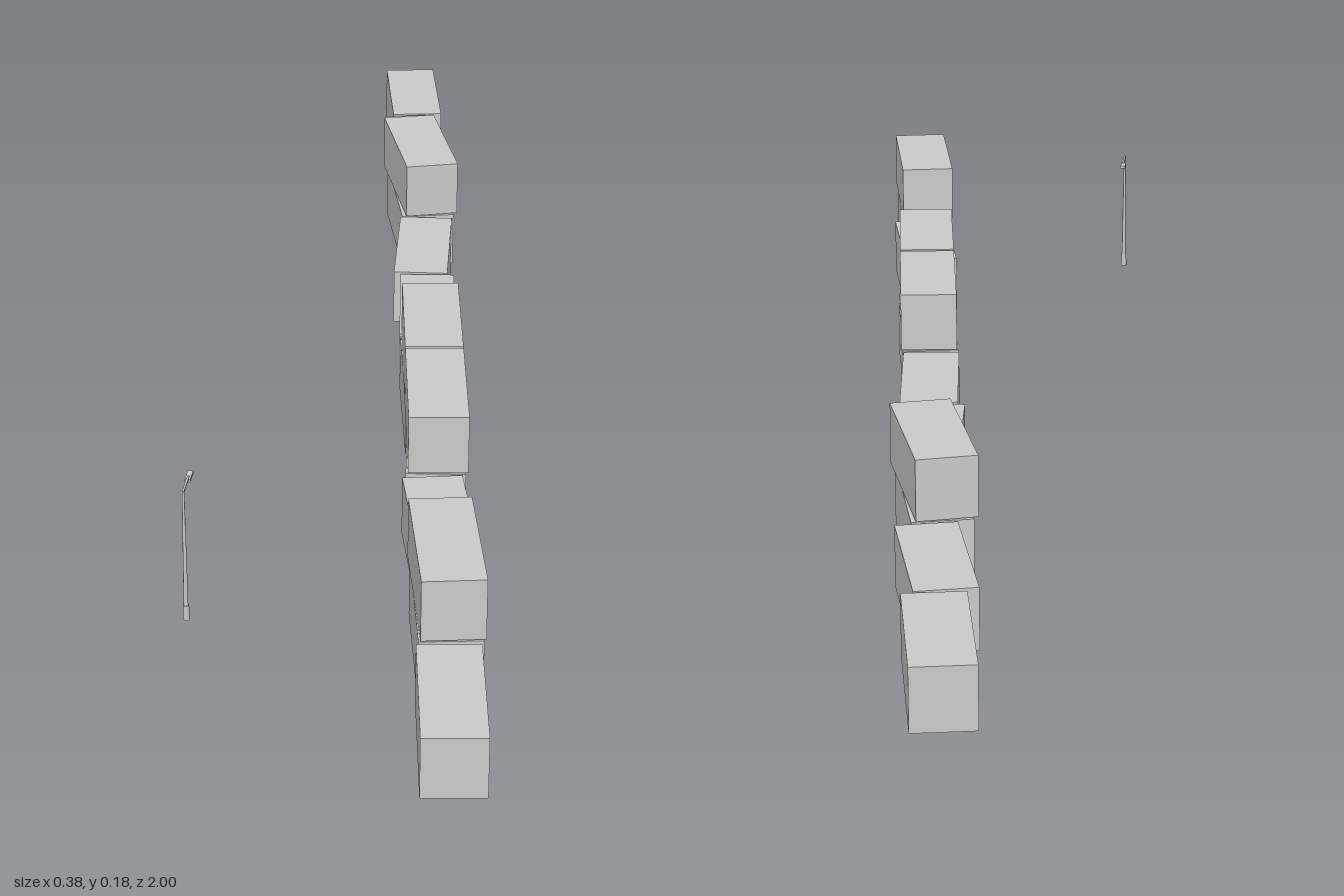
import * as THREE from 'three';

export function createModel() {
  const model = new THREE.Group();
  const material = new THREE.MeshStandardMaterial({ color: 0xcccccc });

  const add = (parent, name, geometry, x, y, z, yaw = 0) => {
    const mesh = new THREE.Mesh(geometry, material);
    mesh.name = name;
    mesh.position.set(x, y, z);
    mesh.rotation.y = yaw;
    parent.add(mesh);
    return mesh;
  };

  // Row of shipping containers, back to front, each slightly turned;
  // some carry a second container on top: [lower yaw, upper yaw]
  const width = 0.0785, height = 0.082, length = 0.1945, spacing = 0.2006;
  const row = [
    [0.04], [0.11], [0.1, 0.16], [-0.07], [-0.03],
    [0.02, 0], [-0.03, 0], [0.08], [0.03, 0.055], [0],
  ];
  const box = new THREE.BoxGeometry(width, height, length);
  const containers = new THREE.Group();
  containers.name = 'containers';
  model.add(containers);
  row.forEach((yaws, i) => {
    const z = (i - (row.length - 1) / 2) * spacing;
    yaws.forEach((yaw, level) => {
      add(containers, level ? 'upperContainer' : 'lowerContainer', box,
        0.1345, 0.002 + height / 2 + level * 0.0835, z, yaw);
    });
  });

  // Street lamp: footing, tapered pole, arm and lamp head pointing back
  const lamp = new THREE.Group();
  lamp.name = 'streetLamp';
  lamp.position.set(-0.185, 0, 0.615);
  lamp.rotation.y = -0.13;
  model.add(lamp);
  add(lamp, 'lampFooting', new THREE.CylinderGeometry(0.004, 0.0045, 0.02, 8), 0, 0.01, 0);
  add(lamp, 'lampPole', new THREE.CylinderGeometry(0.0016, 0.003, 0.165, 8), 0, 0.1, 0);
  add(lamp, 'lampArm', new THREE.BoxGeometry(0.0025, 0.0025, 0.04), 0, 0.182, -0.019);
  add(lamp, 'lampHead', new THREE.BoxGeometry(0.007, 0.004, 0.022), 0, 0.18, -0.042);

  return model;
}
